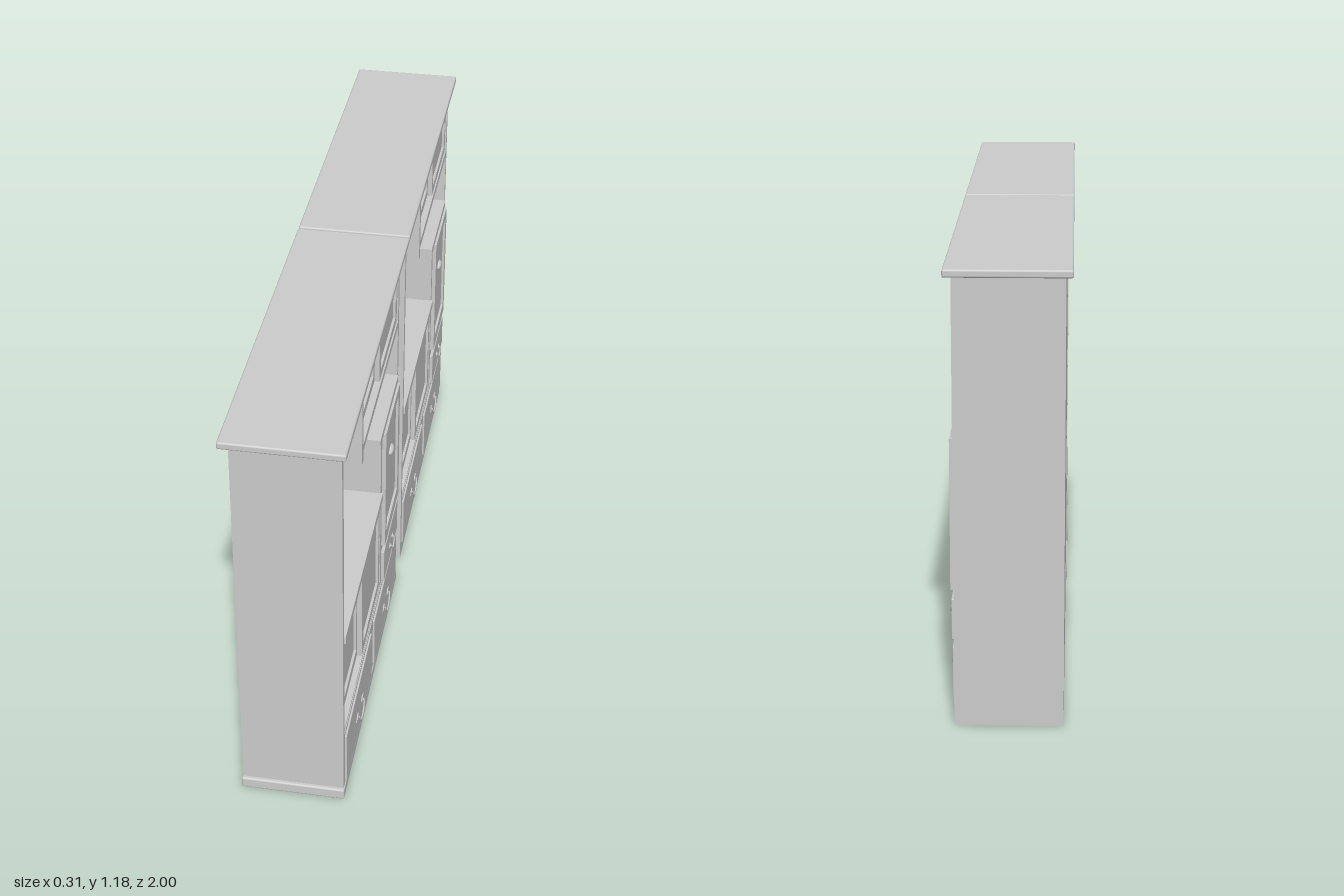
import * as THREE from 'three';
import { RoundedBoxGeometry } from 'three/addons/geometries/RoundedBoxGeometry.js';

const material = new THREE.MeshStandardMaterial({ color: 0xcccccc });

function add(parent, name, geometry) {
  const mesh = new THREE.Mesh(geometry, material);
  mesh.name = name;
  parent.add(mesh);
  return mesh;
}

// Box given by its limits; a radius rounds its edges
function box(parent, name, [x0, x1], [y0, y1], [z0, z1], radius = 0) {
  const size = [x1 - x0, y1 - y0, z1 - z0];
  const geometry = radius
    ? new RoundedBoxGeometry(...size, 2, radius)
    : new THREE.BoxGeometry(...size);
  add(parent, name, geometry).position.set((x0 + x1) / 2, (y0 + y1) / 2, (z0 + z1) / 2);
}

function rect(target, x0, x1, y0, y1) {
  target.moveTo(x0, y0).lineTo(x1, y0).lineTo(x1, y1).lineTo(x0, y1).closePath();
  return target;
}

// Door facing +x: a frame with a recessed panel
function framedDoor(parent, name, front, thick, [y0, y1], [z0, z1], side, top, bottom) {
  const door = new THREE.Group();
  door.name = name;
  const shape = rect(new THREE.Shape(), -z1, -z0, y0, y1);
  shape.holes.push(rect(new THREE.Path(), -z1 + side, -z0 - side, y0 + bottom, y1 - top));
  const geometry = new THREE.ExtrudeGeometry(shape, { depth: thick, bevelEnabled: false });
  geometry.rotateY(Math.PI / 2).translate(front - thick, 0, 0);
  add(door, 'doorFrame', geometry);
  box(door, 'doorPanel', [front - thick + 0.001, front - 0.007],
    [y0 + bottom - 0.003, y1 - top + 0.003], [z0 + side - 0.003, z1 - side + 0.003]);
  parent.add(door);
}

// Hanging bail pull with two round plates
function bailPull(parent, x, y, z, r) {
  const pull = new THREE.Group();
  pull.name = 'drawerPull';
  const points = [[0.001, r], [0.005, r], [0.007, r * 0.85], [0.007, 0.45 * r], [0.007, -0.45 * r],
    [0.007, -0.85 * r], [0.005, -r], [0.001, -r]];
  const drops = [0, 0, -0.4, -0.85, -0.85, -0.4, 0, 0];
  const curve = new THREE.CatmullRomCurve3(
    points.map(([px, pz], i) => new THREE.Vector3(px, drops[i] * r, pz)));
  add(pull, 'bail', new THREE.TubeGeometry(curve, 28, 0.0026, 6));
  for (const s of [-1, 1]) {
    const plate = add(pull, 'pullPlate', new THREE.CylinderGeometry(r * 0.3, r * 0.36, 0.003, 14));
    plate.rotation.z = -Math.PI / 2;
    plate.position.set(0.0015, 0, s * r);
    const tip = add(pull, 'plateTip', new THREE.BoxGeometry(0.002, 0.004, r * 0.4));
    tip.position.set(0.001, 0, s * r * 1.4);
  }
  pull.position.set(x, y, z);
  parent.add(pull);
}

// Shallow upright finger grip
function grip(parent, x, y, z, height) {
  const mesh = add(parent, 'slidingDoorGrip', new THREE.CapsuleGeometry(0.006, height - 0.012, 4, 10));
  mesh.scale.x = 0.4;
  mesh.position.set(x, y, z);
}

function cabinet(name, withPlinth) {
  const g = new THREE.Group();
  g.name = name;
  const body = [-0.138, 0.135];
  const inner = [0.073, 0.935];

  // Carcass
  box(g, 'topBoard', [-0.155, 0.153], [1.158, 1.178], [0.004, 1], 0.005);
  if (withPlinth) box(g, 'plinth', [-0.141, 0.138], [0, 0.033], [0.045, 0.963], 0.005);
  box(g, 'lowerChest', body, [withPlinth ? 0.02 : 0, 0.215], [0.055, 0.953]);
  box(g, 'sidePanel', body, [0.215, 1.158], [0.935, 0.953]);
  box(g, 'sidePanel', body, [0.215, 1.158], [0.055, 0.073]);
  const back = withPlinth ? -0.132 : -0.138;
  box(g, 'backPanel', [back, -0.124], [0.215, 1.158], inner);

  // Wide drawers
  for (const [z0, z1] of [[0.075, 0.477], [0.525, 0.93]]) {
    box(g, 'drawerFront', [0.13, 0.14], [0.043, 0.203], [z0, z1], 0.002);
    bailPull(g, 0.14, 0.113, (z0 + z1) / 2, 0.036);
  }

  // Sliding door cupboard below the counter
  box(g, 'counter', [-0.125, 0.139], [0.535, 0.557], [0.34, 0.935]);
  box(g, 'doorTrack', [-0.125, 0.133], [0.215, 0.222], [0.34, 0.935]);
  framedDoor(g, 'leftSlidingDoor', 0.117, 0.013, [0.22, 0.536], [0.625, 0.935], 0.024, 0.03, 0.03);
  framedDoor(g, 'rightSlidingDoor', 0.131, 0.013, [0.22, 0.536], [0.342, 0.64], 0.024, 0.03, 0.03);
  grip(g, 0.117, 0.376, 0.922, 0.06);
  grip(g, 0.131, 0.376, 0.355, 0.06);

  // Column with tall door and small drawer
  box(g, 'columnBody', [-0.125, 0.133], [0.215, 0.752], [0.073, 0.343]);
  box(g, 'columnTop', [-0.125, 0.138], [0.75, 0.77], [0.073, 0.387]);
  framedDoor(g, 'tallDoor', 0.144, 0.012, [0.355, 0.746], [0.075, 0.323], 0.027, 0.027, 0.037);
  const knob = add(g, 'cupKnob', new THREE.SphereGeometry(1, 20, 12));
  knob.scale.set(0.01, 0.013, 0.024);
  knob.position.set(0.138, 0.604, 0.2);
  box(g, 'smallDrawerFront', [0.13, 0.142], [0.222, 0.33], [0.075, 0.323], 0.002);
  bailPull(g, 0.142, 0.273, 0.199, 0.022);

  // Hanging cupboard under the top
  box(g, 'hangingPost', [-0.125, 0.137], [0.91, 1.158], [0.66, 0.68]);
  box(g, 'hangingFloor', [-0.125, 0.135], [0.93, 0.95], [0.073, 0.66]);
  framedDoor(g, 'leftUpperDoor', 0.117, 0.013, [0.95, 1.158], [0.36, 0.66], 0.022, 0.02, 0.024);
  framedDoor(g, 'rightUpperDoor', 0.131, 0.013, [0.95, 1.158], [0.073, 0.37], 0.022, 0.02, 0.024);
  grip(g, 0.117, 1.054, 0.648, 0.06);
  grip(g, 0.131, 1.054, 0.085, 0.06);
  return g;
}

export function createModel() {
  const model = new THREE.Group();
  model.name = 'steppedCabinetPair';
  const second = cabinet('plainBaseCabinet', false);
  second.position.z = -1.004;
  second.getObjectByName('topBoard').position.z += 0.002;
  model.add(cabinet('plinthCabinet', true), second);
  return model;
}
